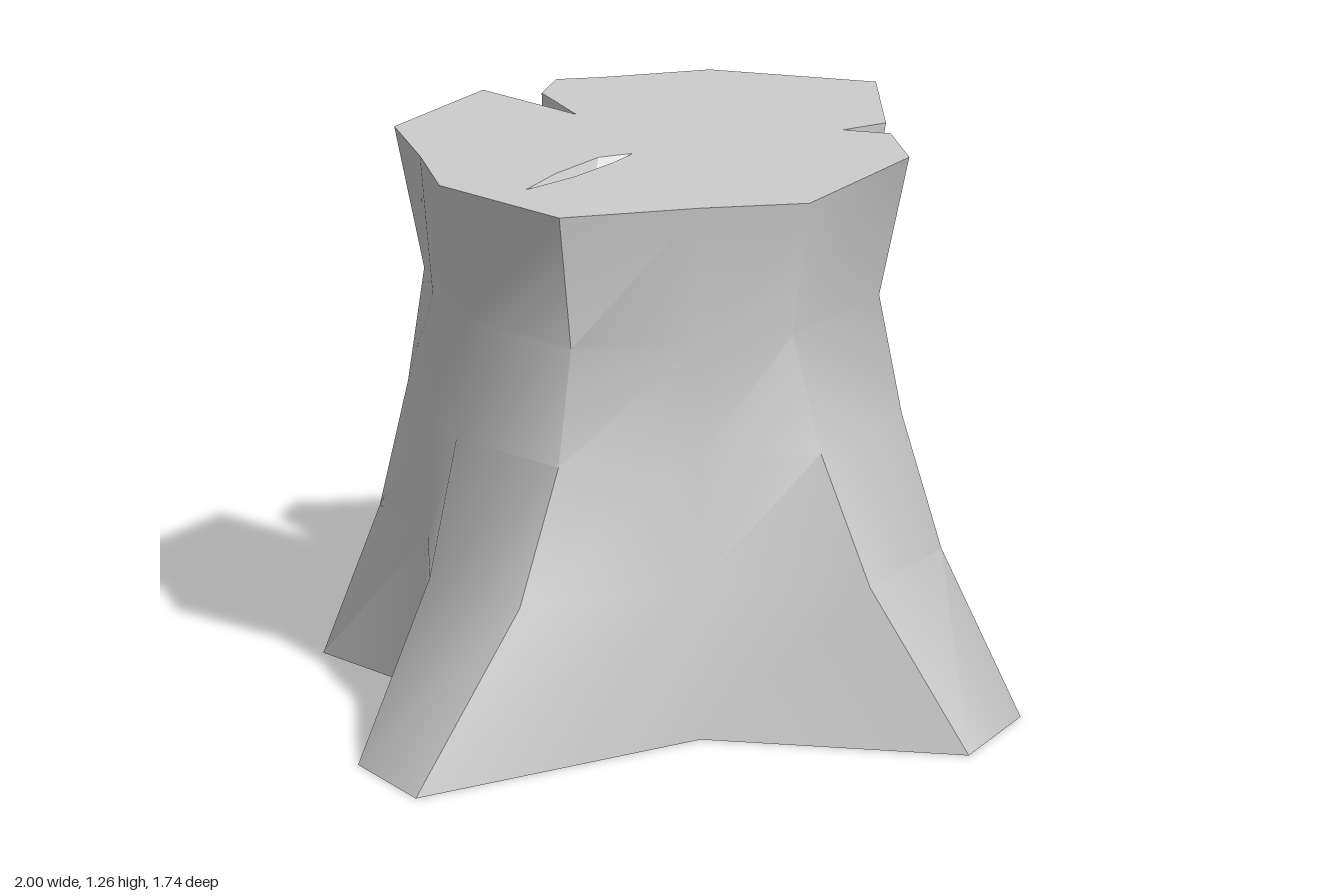
import * as THREE from 'three';
import { toCreasedNormals } from 'three/addons/utils/BufferGeometryUtils.js';

const LEVELS = [0, 0.36, 0.66, 0.93, 1.26];
const TOP = 1.26;

// A column runs up the trunk: foot, rim, inward pull at the waist, and how fast the root narrows.
function column(foot, rim, pull = 0.07, low = 0.56, mid = 0.84) {
  const dx = rim[0] - 0.1, dz = rim[1] + 0.07;
  const k = pull / Math.hypot(dx, dz);
  const waist = [rim[0] - dx * k, rim[1] - dz * k];
  const mix = (t) => [foot[0] + (waist[0] - foot[0]) * t, foot[1] + (waist[1] - foot[1]) * t];
  return [foot, mix(low), mix(mid), waist, rim];
}

// Columns of a crack share their points below the crack's tip.
const sideFoot = [[0.55, 0.17], [0.55, 0.17], [0.545, 0.17]];
const sideCrack = [
  [...sideFoot, [0.49, 0.17], [0.53, 0.21]],
  [...sideFoot, [0.46, 0.11], [0.47, 0.115]],
  [...sideFoot, [0.545, 0.10], [0.58, 0.14]],
];
const backFoot = [[0.17, -0.87], [0.16, -0.75]];
const backCrack = [
  [...backFoot, [0.21, -0.665], [0.24, -0.59], [0.27, -0.63]],
  [...backFoot, [0.17, -0.64], [0.17, -0.565], [0.17, -0.57]],
  [...backFoot, [0.15, -0.63], [0.12, -0.48], [0.11, -0.39]],
  [...backFoot, [0.12, -0.68], [0.085, -0.62], [0.09, -0.68]],
];

const columns = [
  column([0.16, 0.87], [0.01, 0.50]), // front root
  column([0.46, 0.72], [0.43, 0.38]),
  ...sideCrack,
  column([0.995, -0.10], [0.79, -0.12]), // left root
  column([0.72, -0.55], [0.58, -0.45]),
  column([0.36, -0.57], [0.36, -0.57], 0.03),
  ...backCrack, // back root
  column([-0.35, -0.74], [-0.26, -0.60]),
  column([-0.38, -0.38], [-0.38, -0.385], 0.03),
  column([-0.91, -0.02], [-0.51, -0.18], 0.07, 0.67, 0.92), // right root
  column([-1, 0.27], [-0.49, 0.20], 0.07, 0.67, 0.92),
  column([-0.20, 0.36], [-0.20, 0.36], 0.03),
];

// Split in the cut face
const split = [[-0.39, -0.02], [-0.25, -0.07], [-0.09, -0.10], [-0.01, -0.07], [-0.10, -0.045], [-0.24, -0.022]];

function fromTriangles(tris) {
  const solid = tris.filter(([a, b, c]) =>
    new THREE.Vector3().subVectors(b, a).cross(new THREE.Vector3().subVectors(c, a)).length() > 1e-6);
  return new THREE.BufferGeometry().setFromPoints(solid.flat());
}

function barkGeometry() {
  const tris = [];
  const at = (j, i) => {
    const [x, z] = columns[j % columns.length][i];
    return new THREE.Vector3(x, LEVELS[i], z);
  };
  for (let j = 0; j < columns.length; j++) {
    for (let i = 0; i < LEVELS.length - 1; i++) {
      const a = at(j, i), b = at(j + 1, i), c = at(j + 1, i + 1), d = at(j, i + 1);
      tris.push([a, b, c], [a, c, d]);
    }
  }
  return toCreasedNormals(fromTriangles(tris), 0.95);
}

export function createModel() {
  const group = new THREE.Group();
  group.name = 'treeStump';
  const wood = new THREE.MeshStandardMaterial({ color: 0xcccccc, side: THREE.DoubleSide });
  wood.name = 'lightGrey';
  const add = (name, geometry) => {
    const mesh = new THREE.Mesh(geometry, wood);
    mesh.name = name;
    group.add(mesh);
  };

  // Trunk wall with roots and cracks
  add('bark', barkGeometry());

  // Cut face with the split left open
  const flip = ([x, z]) => new THREE.Vector2(x, -z);
  const rim = new THREE.Shape(columns.map((c) => flip(c[4])));
  rim.holes.push(new THREE.Path(split.map(flip)));
  add('cutFace', new THREE.ShapeGeometry(rim).rotateX(-Math.PI / 2).translate(0, TOP, 0));

  // Walls of the split meet at its lowest point
  const low = new THREE.Vector3(-0.18, TOP - 0.1, -0.035);
  const walls = split.map(([x, z], i) => {
    const [nx, nz] = split[(i + 1) % split.length];
    return [new THREE.Vector3(x, TOP, z), low, new THREE.Vector3(nx, TOP, nz)];
  });
  const splitGeometry = fromTriangles(walls);
  splitGeometry.computeVertexNormals();
  add('split', splitGeometry);

  // Underside
  const feet = columns.map((c) => c[0]).filter((p, i, all) => i === 0 || p[0] !== all[i - 1][0] || p[1] !== all[i - 1][1]);
  const sole = new THREE.Shape(feet.map(([x, z]) => new THREE.Vector2(x, z)));
  add('underside', new THREE.ShapeGeometry(sole).rotateX(Math.PI / 2));

  return group;
}
